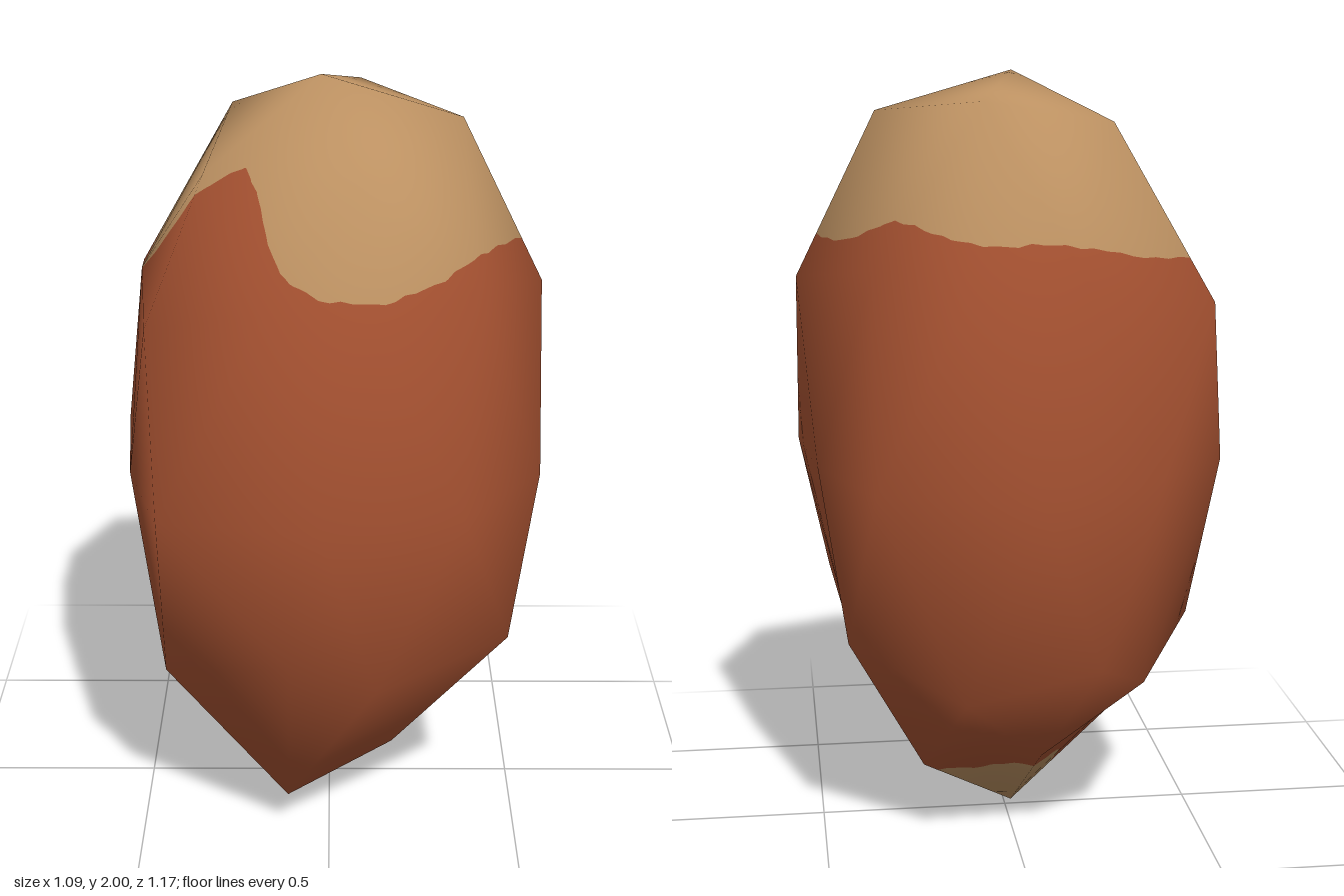
import * as THREE from 'three';

// Cross-sections: [x, z, lift] corners starting near +z and turning towards +x.
// Heights follow a base y, a tilt along x and z, and a zigzag between neighbours.
const ring = ({ y, tiltX = 0, tiltZ = 0, zigzag = 0 }, corners) => corners.map(([x, z, lift = 0], i) => ({
  p: new THREE.Vector3(x, y + tiltX * x + tiltZ * z + (i % 2 ? zigzag : -zigzag) + lift, z),
  n: new THREE.Vector3(),
}));

const [topTip] = ring({ y: 2 }, [[-0.02, 0.03]]);
const crown = ring({ y: 1.86, tiltX: 0.13, tiltZ: -0.28 },
  [[0.07, 0.28, -0.025], [0.33, 0.05, 0.01], [0.08, -0.23], [-0.25, -0.19], [-0.31, 0.15]]);
const shoulder = ring({ y: 1.485, tiltX: 0.04, zigzag: 0.03 },
  [[0.12, 0.48], [0.36, 0.28], [0.54, 0.04], [0.36, -0.28], [0.15, -0.43],
    [-0.15, -0.43], [-0.5, -0.26], [-0.48, 0], [-0.45, 0.31], [-0.15, 0.42]]);
const waist = ring({ y: 1.01 },
  [[-0.02, 0.585], [0.33, 0.48], [0.54, 0.2], [0.5, -0.14], [0.37, -0.475],
    [-0.02, -0.59], [-0.35, -0.4], [-0.545, -0.17], [-0.51, 0.2], [-0.42, 0.51]]);
const hip = ring({ y: 0.535, tiltZ: 0.06, zigzag: 0.055 },
  [[0.12, 0.45], [0.46, 0.34], [0.41, 0], [0.435, -0.267], [0.15, -0.44],
    [-0.18, -0.51], [-0.32, -0.33], [-0.47, -0.13], [-0.425, 0.314], [-0.1, 0.54]]);
const foot = ring({ y: 0.19, tiltX: -0.17, tiltZ: -0.25 },
  [[0.17, 0.16, 0.07], [0.235, -0.145], [-0.07, -0.22, -0.03], [-0.31, 0.06, 0.03], [-0.11, 0.3, -0.025]]);
const [bottomTip] = ring({ y: 0 }, [[-0.02, 0.03]]);

// Ragged colour borders: heights at even steps around the shell, from +z towards +x
const TOP_EDGE = [1.54, 1.54, 1.55, 1.59, 1.6, 1.58, 1.59, 1.65, 1.63, 1.6,
  1.6, 1.6, 1.57, 1.55, 1.53, 1.49, 1.65, 1.81, 1.74, 1.59];
const BOTTOM_EDGE = [0.1, 0.15, 0.19, 0.16, 0.17, 0.19, 0.17, 0.18, 0.1, 0.08];

// Triangles that join the rings; every face adds to its corners' soft normals
const faces = [];
function face(a, b, c) {
  const normal = b.p.clone().sub(a.p).cross(c.p.clone().sub(a.p));
  for (const corner of [a, b, c]) corner.n.add(normal);
  faces.push([a, b, c]);
}

// End cap: a tip, five corners, then ten
function cap(tip, five, ten, shift, add) {
  for (let k = 0; k < 5; k++) {
    const a = five[k], b = five[(k + 1) % 5];
    const [left, middle, right] = [0, 1, 2].map((i) => ten[(2 * k + i + shift) % 10]);
    add(tip, a, b);
    add(a, left, middle);
    add(a, middle, b);
    add(b, middle, right);
  }
}
cap(topTip, crown, shoulder, 0, face);
cap(bottomTip, foot, hip, 1, (a, b, c) => face(a, c, b));

// Two zigzag bands above and below the waist
for (let j = 0; j < 10; j++) {
  const k = (j + 1) % 10;
  face(shoulder[j], waist[j], waist[k]);
  face(shoulder[j], waist[k], shoulder[k]);
  face(waist[j], hip[j], waist[k]);
  face(waist[k], hip[j], hip[k]);
}
for (const corner of [topTip, bottomTip, ...crown, ...shoulder, ...waist, ...hip, ...foot]) corner.n.normalize();

const mix = (a, b, t) => ({ p: a.p.clone().lerp(b.p, t), n: a.n.clone().lerp(b.n, t) });

// Height above a border at a point
function above(edge, p) {
  const angle = Math.atan2(p.x, p.z);
  const k = ((angle / (2 * Math.PI) + 1) % 1) * edge.length, i = Math.floor(k) % edge.length;
  const wobble = 0.006 * Math.sin(angle * 23) * Math.cos(angle * 9);
  return p.y - wobble - THREE.MathUtils.lerp(edge[i], edge[(i + 1) % edge.length], k - Math.floor(k));
}

// Keep the part of a polygon where the test is positive
function clip(polygon, test) {
  const kept = [];
  polygon.forEach((a, i) => {
    const b = polygon[(i + 1) % polygon.length], da = test(a.p), db = test(b.p);
    if (da >= 0) kept.push(a);
    if (da >= 0 !== db >= 0) kept.push(mix(a, b, da / (da - db)));
  });
  return kept;
}

// Split a face into small triangles so the borders can bend across it
const STEPS = 10;
function split([a, b, c]) {
  const at = (i, j) => (i ? mix(a, mix(b, c, j / i), i / STEPS) : a);
  const small = [];
  for (let i = 0; i < STEPS; i++) {
    for (let j = 0; j <= i; j++) {
      small.push([at(i, j), at(i + 1, j), at(i + 1, j + 1)]);
      if (j < i) small.push([at(i, j), at(i + 1, j + 1), at(i, j + 1)]);
    }
  }
  return small;
}

// One colour zone of the shell, cut out by its border tests
function zone(name, material, tests) {
  const pos = [], nor = [];
  for (const triangle of faces.flatMap(split)) {
    const polygon = tests.reduce(clip, triangle);
    for (let i = 2; i < polygon.length; i++) {
      for (const { p, n } of [polygon[0], polygon[i - 1], polygon[i]]) {
        pos.push(p.x, p.y, p.z);
        nor.push(...n.clone().normalize().toArray());
      }
    }
  }
  const geometry = new THREE.BufferGeometry();
  geometry.setAttribute('position', new THREE.Float32BufferAttribute(pos, 3));
  geometry.setAttribute('normal', new THREE.Float32BufferAttribute(nor, 3));
  const mesh = new THREE.Mesh(geometry, material);
  mesh.name = name;
  return mesh;
}

export function createModel() {
  const russet = new THREE.MeshStandardMaterial({ color: 0xa35030 });
  russet.name = 'russet';
  const tan = new THREE.MeshStandardMaterial({ color: 0xbb9061 });
  tan.name = 'pale tan';

  const overTop = (p) => above(TOP_EDGE, p);
  const overBottom = (p) => above(BOTTOM_EDGE, p);
  const group = new THREE.Group();
  group.name = 'nut';
  group.add(
    zone('topCap', tan, [overTop]),
    zone('shell', russet, [(p) => -overTop(p), overBottom]),
    zone('bottomTip', tan, [(p) => -overBottom(p)]),
  );
  return group;
}
